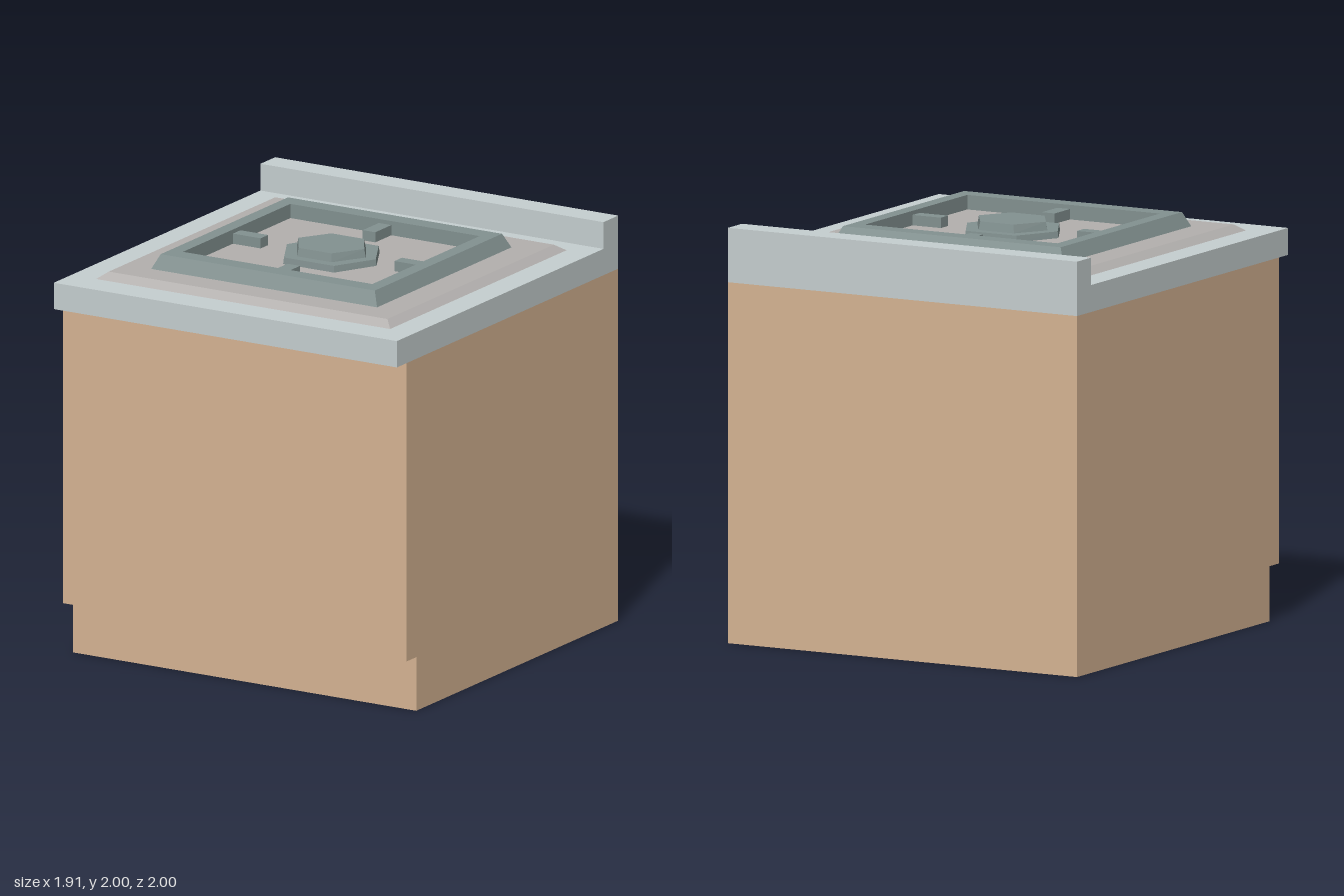
import * as THREE from 'three';

const HALF_W = 0.957; // half the cabinet width
const CZ = 0.042;     // z centre of the hob

const paint = (color) => new THREE.MeshStandardMaterial({ color, flatShading: true, side: THREE.DoubleSide });

function addMesh(parent, name, geometry, material) {
  const mesh = new THREE.Mesh(geometry, material);
  mesh.name = name;
  parent.add(mesh);
  return mesh;
}

const shapeOf = (points) => new THREE.Shape(points.map(([a, b]) => new THREE.Vector2(a, b)));

// Side profile of [z, y] points, extruded across the full width
function acrossWidth(points) {
  const geo = new THREE.ExtrudeGeometry(shapeOf(points), { depth: 2 * HALF_W, bevelEnabled: false });
  return geo.rotateY(-Math.PI / 2).translate(HALF_W, 0, 0);
}

// Solid or ring lofted through loops of { y, points: [x, z] }; closed loops join last to first
function loft(loops, ring = false) {
  const n = loops[0].points.length;
  const pos = loops.flatMap(({ y, points }) => points.flatMap(([x, z]) => [x, y, z + CZ]));
  const index = [];
  const spans = ring ? loops.length : loops.length - 1;
  for (let k = 0; k < spans; k++) {
    const lower = k * n, upper = ((k + 1) % loops.length) * n;
    for (let i = 0; i < n; i++) {
      const j = (i + 1) % n;
      index.push(lower + i, lower + j, upper + j, lower + i, upper + j, upper + i);
    }
  }
  if (!ring) {
    const top = (loops.length - 1) * n;
    for (let i = 1; i < n - 1; i++) {
      index.push(0, i + 1, i);
      index.push(top, top + i, top + i + 1);
    }
  }
  const geo = new THREE.BufferGeometry();
  geo.setAttribute('position', new THREE.Float32BufferAttribute(pos, 3));
  geo.setIndex(index);
  const flat = geo.toNonIndexed();
  flat.computeVertexNormals();
  return flat;
}

// Loop outlines, wound so that lofted walls face outward
const rect = (y, hx, hz) => ({ y, points: [[-hx, hz], [hx, hz], [hx, -hz], [-hx, -hz]] });
const hexagon = (y, r, flat, hz) => ({
  y,
  points: [[-flat, hz], [flat, hz], [r, 0], [flat, -hz], [-flat, -hz], [-r, 0]],
});

export function createModel() {
  const model = new THREE.Group();
  model.name = 'stoveCabinet';
  const wood = paint(0xd6b493);
  const stone = paint(0xc6cfd0);
  const plate = paint(0xb3b0ae);
  const iron = paint(0x839291);

  // Cabinet with a recessed toe kick at the front
  addMesh(model, 'cabinet', acrossWidth([
    [-1, 0], [0.825, 0], [0.825, 0.265], [0.915, 0.265], [0.915, 1.738], [-1, 1.738],
  ]), wood);

  // Worktop overhanging the front, with an upstand at the back
  addMesh(model, 'worktop', acrossWidth([
    [-1, 1.738], [1, 1.738], [1, 1.868], [-0.867, 1.868], [-0.867, 2], [-1, 2],
  ]), stone);

  // Bevelled hob plate
  addMesh(model, 'hobPlate', loft([rect(1.868, 0.82, 0.797), rect(1.9, 0.777, 0.752)]), plate);

  // Pan support: square frame with sloped outside and upright inside
  const support = new THREE.Group();
  support.name = 'panSupport';
  model.add(support);
  addMesh(support, 'supportFrame', loft([
    rect(1.9, 0.63, 0.607), rect(1.97, 0.597, 0.575),
    rect(1.97, 0.528, 0.485), rect(1.9, 0.528, 0.485),
  ], true), iron);

  // Four fingers pointing at the burner
  for (const side of [-1, 1]) {
    addMesh(support, 'supportFinger', new THREE.BoxGeometry(0.155, 0.05, 0.068), iron)
      .position.set(side * 0.4505, 1.925, CZ);
    addMesh(support, 'supportFinger', new THREE.BoxGeometry(0.07, 0.05, 0.145), iron)
      .position.set(0, 1.925, CZ + side * 0.4125);
  }

  // Hexagonal burner: wide base and smaller cap
  const burner = new THREE.Group();
  burner.name = 'burner';
  model.add(burner);
  addMesh(burner, 'burnerBase', loft([
    hexagon(1.9, 0.252, 0.142, 0.206), hexagon(1.932, 0.248, 0.139, 0.203),
  ]), iron);
  addMesh(burner, 'burnerCap', loft([
    hexagon(1.932, 0.192, 0.097, 0.154), hexagon(1.973, 0.184, 0.091, 0.147),
  ]), iron);

  return model;
}
